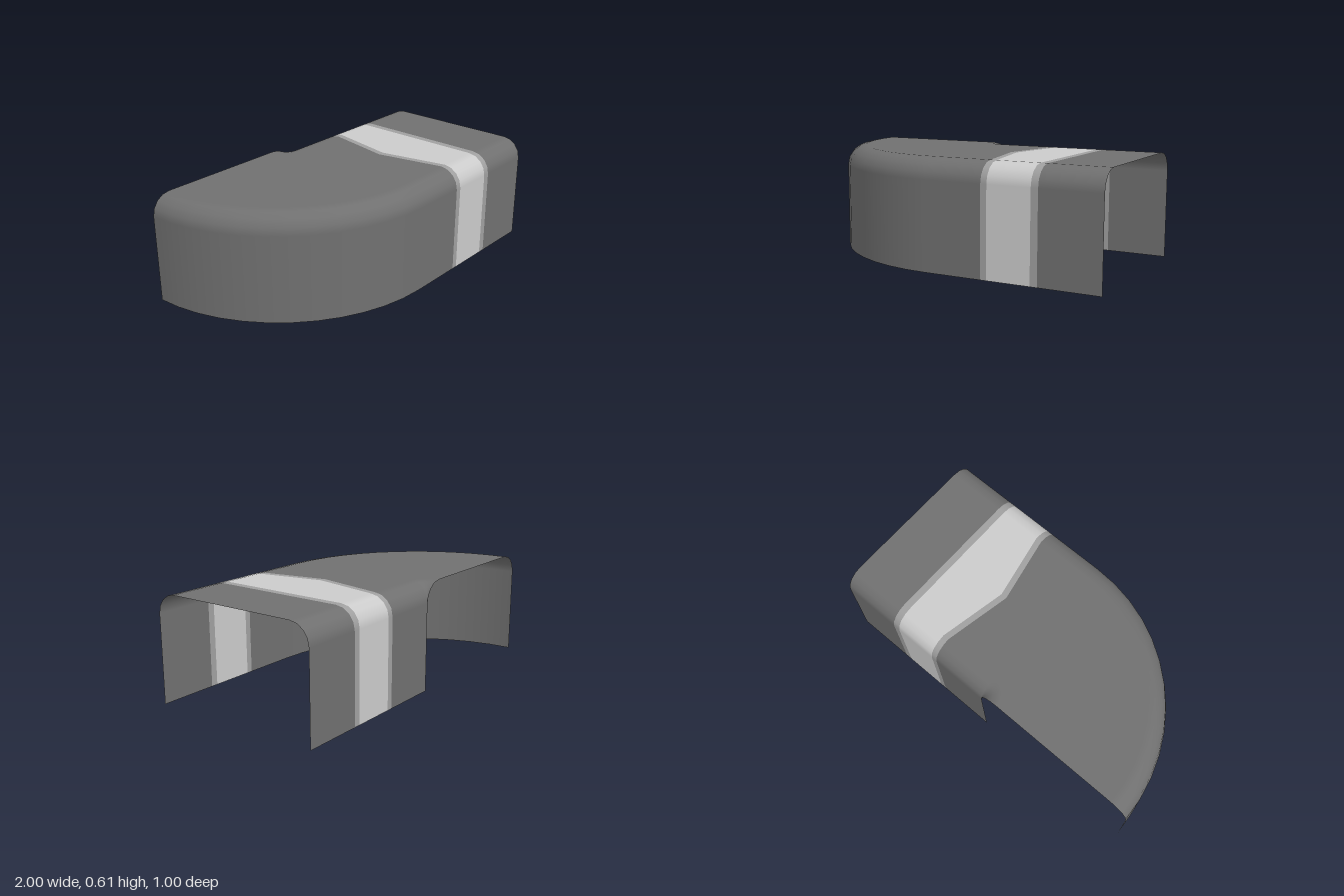
import * as THREE from 'three';

const HALF = 0.5, HEIGHT = 0.613, R = 0.113, CORNER_STEPS = 4, BEND_STEPS = 12;

// Cross-section from the front wall's foot, over the top, to the back wall's foot
function makeProfile() {
  const pts = [{ z: HALF, y: 0, nz: 1, ny: 0 }];
  const corner = (from) => {
    for (let i = 0; i <= CORNER_STEPS; i++) {
      const a = from + (i / CORNER_STEPS) * Math.PI / 2;
      const nz = Math.cos(a), ny = Math.sin(a);
      pts.push({ z: (from ? -1 : 1) * (HALF - R) + R * nz, y: HEIGHT - R + R * ny, nz, ny });
    }
  };
  corner(0);
  pts.push({ z: 0, y: HEIGHT, nz: 0, ny: 1, peak: 1 });
  corner(Math.PI / 2);
  pts.push({ z: -HALF, y: 0, nz: -1, ny: 0 });
  return pts;
}

// Sheet between stations; place(point, station) gives [position, normal]
function sheet(name, color, profile, stations, place) {
  const pos = [], nor = [], idx = [], n = profile.length;
  for (const s of stations) {
    for (const p of profile) {
      const [v, m] = place(p, s);
      pos.push(...v);
      nor.push(...m);
    }
  }
  for (let j = 0; j < stations.length - 1; j++) {
    for (let i = 0; i < n - 1; i++) {
      const a = j * n + i, b = a + n;
      idx.push(a, b, b + 1, a, b + 1, a + 1);
    }
  }
  const geo = new THREE.BufferGeometry();
  geo.setAttribute('position', new THREE.Float32BufferAttribute(pos, 3));
  geo.setAttribute('normal', new THREE.Float32BufferAttribute(nor, 3));
  geo.setIndex(idx);
  const mesh = new THREE.Mesh(geo, new THREE.MeshStandardMaterial({ color, side: THREE.DoubleSide }));
  mesh.name = name;
  return mesh;
}

export function createModel() {
  const group = new THREE.Group();
  group.name = 'cornerCover';
  const profile = makeProfile();
  const BODY = 0x707070, BORDER = 0xa0a0a0, BAND = 0xcccccc;

  // Quarter-turn end, swept about the inner back corner (the inner wall vanishes there)
  const angles = Array.from({ length: BEND_STEPS + 1 }, (_, i) => (1 - i / BEND_STEPS) * Math.PI / 2);
  group.add(sheet('bend', BODY, profile.slice(0, -1), angles, (p, a) => {
    const r = p.z + HALF, s = Math.sin(a), c = Math.cos(a);
    return [[-r * s, p.y, -HALF + r * c], [-p.nz * s, p.ny, p.nz * c]];
  }));

  // Straight channel in strips; the band's inner edge peaks at the middle of the top
  const edge = (x, peak = 0) => ({ x, peak });
  const edges = [edge(0), edge(0.333, 0.078), edge(0.368, 0.078), edge(0.615), edge(0.655), edge(1)];
  const strips = [
    ['innerChannel', BODY], ['innerBandBorder', BORDER], ['band', BAND],
    ['outerBandBorder', BORDER], ['outerChannel', BODY],
  ];
  strips.forEach(([name, color], i) => {
    group.add(sheet(name, color, profile, [edges[i], edges[i + 1]], (p, e) =>
      [[e.x - (p.peak ? e.peak : 0), p.y, p.z], [0, p.ny, p.nz]]));
  });
  return group;
}
